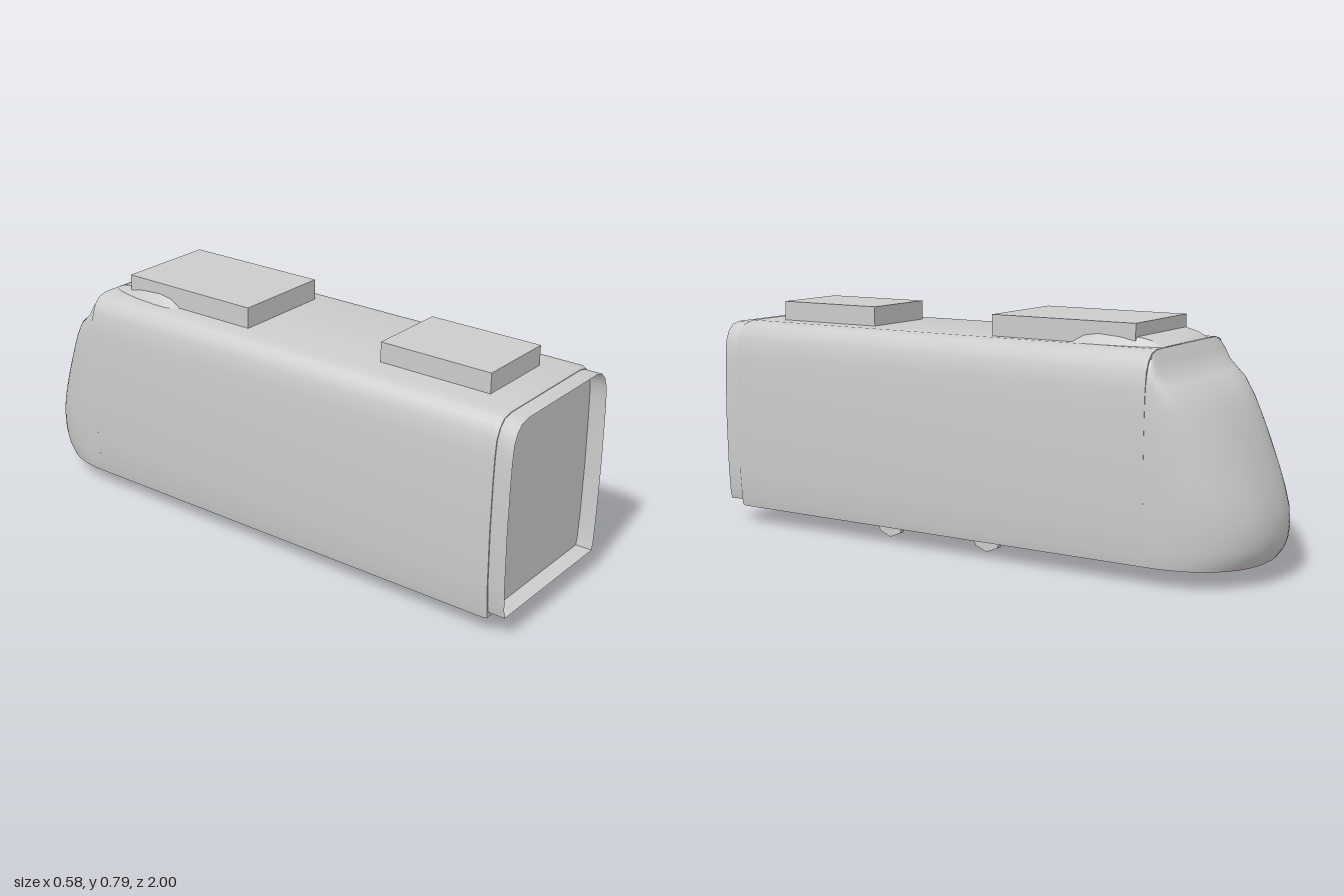
import * as THREE from 'three';
import { toCreasedNormals } from 'three/addons/utils/BufferGeometryUtils.js';

const shell = new THREE.MeshStandardMaterial({ color: 0xcccccc });
shell.name = 'light grey';
shell.side = THREE.DoubleSide;

// Skin a row of closed loops of [x, y, z]; optional flat ends.
function loft(sections, capStart = true, capEnd = true) {
  const n = sections[0].length;
  const pos = [];
  const index = [];
  sections.forEach((s) => s.forEach((p) => pos.push(...p)));
  for (let i = 0; i < sections.length - 1; i++) {
    for (let j = 0; j < n; j++) {
      const a = i * n + j, b = i * n + ((j + 1) % n);
      index.push(a, b, b + n, a, b + n, a + n);
    }
  }
  const cap = (k, flip) => {
    const centre = [0, 1, 2].map((c) => sections[k].reduce((t, p) => t + p[c], 0) / n);
    const m = pos.length / 3;
    pos.push(...centre);
    for (let j = 0; j < n; j++) {
      const a = k * n + j, b = k * n + ((j + 1) % n);
      index.push(m, flip ? b : a, flip ? a : b);
    }
  };
  if (capStart) cap(0, true);
  if (capEnd) cap(sections.length - 1, false);
  const g = new THREE.BufferGeometry();
  g.setAttribute('position', new THREE.Float32BufferAttribute(pos, 3));
  g.setIndex(index);
  return toCreasedNormals(g, 0.6);
}

// Half outline of the carriage, floor to roof.
const half = [
  [0.272, 0.06], [0.278, 0.09], [0.284, 0.18], [0.288, 0.36], [0.286, 0.52], [0.283, 0.6],
  [0.277, 0.655], [0.262, 0.69], [0.24, 0.712], [0.205, 0.72],
];

function bodySection(z, sx = 1, y0 = 0.06, y1 = 0.72) {
  const pts = half.map(([x, y]) => [x * sx, y0 + ((y - 0.06) / 0.66) * (y1 - y0), z]);
  return [...pts, ...pts.map(([x, y]) => [-x, y, z]).reverse()];
}

// Plan outline of the nose at one height: superellipse with power n.
function noseSection([y, w, d, n]) {
  const steps = 28;
  const pts = [];
  for (let i = 0; i <= steps; i++) {
    const t = (i / steps) * Math.PI;
    const c = Math.cos(t), s = Math.max(Math.sin(t), 0);
    pts.push([w * Math.sign(c) * Math.abs(c) ** (2 / n), y, -0.668 - d * s ** (2 / n)]);
  }
  return pts;
}

export function createModel() {
  const group = new THREE.Group();
  group.name = 'railCarriage';
  const add = (name, geometry, x = 0, y = 0, z = 0) => {
    const mesh = new THREE.Mesh(geometry, shell);
    mesh.name = name;
    mesh.position.set(x, y, z);
    group.add(mesh);
    return mesh;
  };

  // Main body with a softened rear rim
  add('body', loft([
    bodySection(-0.67), bodySection(0.93), bodySection(0.943, 0.985, 0.063, 0.714),
  ]));

  // Open connecting collar behind the body
  add('collar', loft([
    bodySection(0.94, 0.972, 0.08, 0.712), bodySection(1, 0.972, 0.08, 0.712),
  ], false, false));

  // Rounded nose: height, half width, depth, squareness
  add('nose', loft([
    [0.06, 0.272, 0.295, 2.3], [0.09, 0.278, 0.317, 2.3], [0.12, 0.28, 0.327, 2.3],
    [0.16, 0.283, 0.332, 2.3], [0.215, 0.285, 0.325, 2.35], [0.27, 0.286, 0.308, 2.4],
    [0.337, 0.287, 0.281, 2.45], [0.41, 0.287, 0.248, 2.5], [0.48, 0.286, 0.212, 2.6],
    [0.54, 0.284, 0.174, 2.8], [0.593, 0.281, 0.132, 3], [0.62, 0.278, 0.088, 3.4],
    [0.645, 0.274, 0.047, 4], [0.68, 0.262, 0.026, 4], [0.705, 0.242, 0.01, 4], [0.719, 0.205, 0.001, 4],
  ].map(noseSection)));

  // Sloped fairing under the front roof unit: z, base half width, top half width, top height
  add('roofFairing', loft([
    [-0.668, 0.165, 0.155, 0.721], [-0.63, 0.178, 0.16, 0.738], [-0.59, 0.188, 0.165, 0.747],
    [-0.53, 0.198, 0.17, 0.752], [-0.45, 0.205, 0.172, 0.755], [-0.4, 0.205, 0.174, 0.745],
    [-0.36, 0.19, 0.175, 0.722],
  ].map(([z, b, t, y]) => [[b, 0.715, z], [t, y, z], [-t, y, z], [-b, 0.715, z]])));

  // Roof equipment boxes
  add('frontRoofUnit', new THREE.BoxGeometry(0.35, 0.075, 0.52), 0, 0.7525, -0.32);
  add('rearRoofUnit', new THREE.BoxGeometry(0.28, 0.07, 0.395), 0, 0.751, 0.6375);

  // Wheels half sunk into the floor
  const wheel = new THREE.CylinderGeometry(0.06, 0.06, 0.02, 8).rotateZ(Math.PI / 2);
  for (const z of [0.36, -0.035]) {
    for (const side of [1, -1]) add(side > 0 ? 'leftWheel' : 'rightWheel', wheel, side * 0.165, 0.06, z);
  }
  return group;
}
